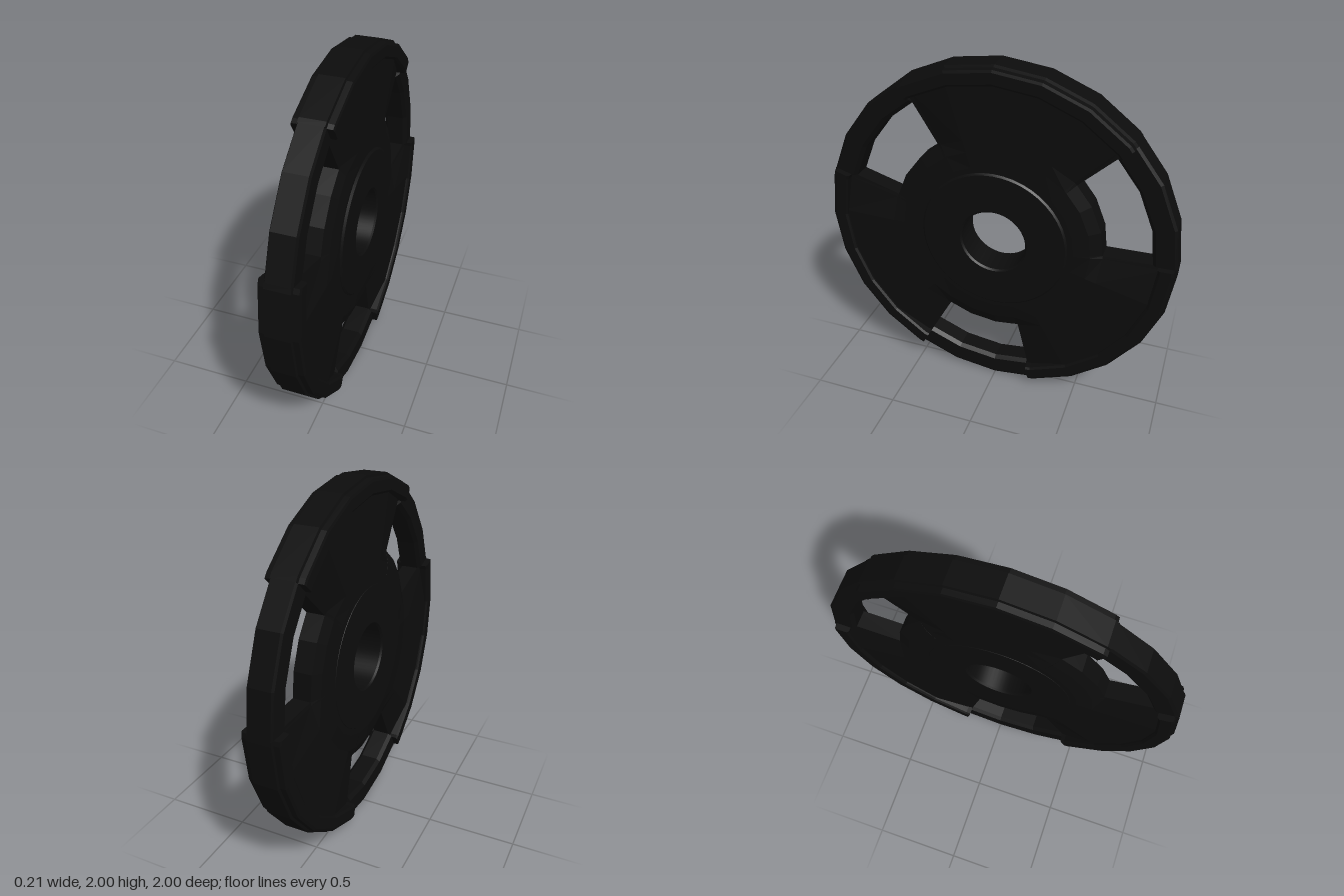
import * as THREE from 'three';
import { toCreasedNormals } from 'three/addons/utils/BufferGeometryUtils.js';

const RAD = Math.PI / 180;
const STEP = 15; // the plate is a 24-sided polygon
const WINDOW = [1.5, 43.3]; // angles of the first grip window
const SPOKE = [43.3, 121.5];

// Point at polygon radius r and angle a around the x axis
function point(x, r, a) {
  const d = ((a % STEP) + STEP) % STEP;
  const k = r * Math.cos(STEP / 2 * RAD) / Math.cos((d - STEP / 2) * RAD);
  return [x, 1 + k * Math.sin(a * RAD), -k * Math.cos(a * RAD)];
}

// Angles from a to b with every polygon corner and any extra angles between
function angles(a, b, extra = []) {
  const list = [a, ...extra, b];
  for (let c = Math.ceil(a / STEP) * STEP; c < b; c += STEP) if (c > a) list.push(c);
  return list.sort((p, q) => p - q);
}

// Sweep rows of [radius, xMin, xMax], inner to outer, around the axis
function sweep(list, rowsAt) {
  const pos = [];
  const quad = (a, b, c, d) => pos.push(...a, ...b, ...c, ...a, ...c, ...d);
  const sections = list.map((a) => {
    const rows = rowsAt(a);
    const right = rows.map(([r, , x]) => point(x, r, a));
    const left = rows.map(([r, x]) => point(x, r, a));
    return { right, left, loop: [...right, ...left.slice().reverse()] };
  });
  for (let j = 0; j < sections.length - 1; j++) {
    const p = sections[j].loop, q = sections[j + 1].loop;
    for (let i = 0; i < p.length; i++) {
      const n = (i + 1) % p.length;
      quad(p[i], p[n], q[n], q[i]);
    }
  }
  const s = sections[0], e = sections[sections.length - 1];
  for (let i = 0; i < s.right.length - 1; i++) {
    quad(s.left[i], s.left[i + 1], s.right[i + 1], s.right[i]);
    quad(e.left[i], e.right[i], e.right[i + 1], e.left[i + 1]);
  }
  const g = new THREE.BufferGeometry();
  g.setAttribute('position', new THREE.Float32BufferAttribute(pos, 3));
  g.computeVertexNormals();
  return g;
}

export function createModel() {
  const group = new THREE.Group();
  group.name = 'weightPlate';
  const black = new THREE.MeshStandardMaterial({ color: 0x0c0c0c });
  black.name = 'black rubber';
  const add = (name, geometry) => {
    const mesh = new THREE.Mesh(geometry, black);
    mesh.name = name;
    group.add(mesh);
    return mesh;
  };

  // Round hub with the bar hole and a slightly raised face
  const hub = new THREE.LatheGeometry([
    [0.195, -0.09], [0.41, -0.09], [0.42, -0.08], [0.42, 0.088], [0.41, 0.097],
    [0.195, 0.097], [0.185, 0.088], [0.185, -0.08], [0.195, -0.09],
  ].map(([r, y]) => new THREE.Vector2(r, y)), 48);
  hub.rotateZ(-Math.PI / 2);
  hub.translate(0, 1, 0);
  add('hub', toCreasedNormals(hub, 0.4));

  const windowAngles = angles(...WINDOW);
  const flank = 15.5; // sloped strip beside each window
  const spokeAngles = angles(...SPOKE, [SPOKE[0] + flank, SPOKE[1] - flank]);

  // Hub edge scooped away toward the window
  const scoop = sweep(windowAngles, () => [
    [0.38, -0.088, 0.085], [0.45, -0.088, 0.085], [0.54, -0.075, 0.073], [0.605, -0.05, 0.05],
  ]);

  // Narrow rim that serves as the handle
  const grip = sweep(windowAngles, () => [
    [0.87, -0.05, 0.05], [0.89, -0.07, 0.07], [0.985, -0.07, 0.07], [1, -0.062, 0.062],
  ]);

  // Spoke panel, thinning toward the windows on both sides
  const spoke = sweep(spokeAngles, (a) => {
    const t = Math.min(1, (a - SPOKE[0]) / flank, (SPOKE[1] - a) / flank);
    const x = 0.05 + 0.036 * t;
    const mid = 0.073 + 0.013 * t;
    return [
      [0.38, -0.088, 0.085], [0.45, -0.088, 0.085], [0.54, -mid, mid], [0.605, -x, x], [0.93, -x, x],
    ];
  });

  // Wide raised rim along the spoke
  const rim = sweep(angles(...SPOKE), () => [
    [0.9, -0.095, 0.095], [0.912, -0.105, 0.105], [0.97, -0.105, 0.105],
    [0.984, -0.1, 0.1], [0.986, -0.07, 0.07], [1, -0.066, 0.066],
  ]);

  // Three-fold repeat about the hub axis
  const parts = { windowScoop: scoop, gripRim: grip, spoke, raisedRim: rim };
  for (let i = 0; i < 3; i++) {
    for (const [name, geometry] of Object.entries(parts)) {
      const g = geometry.clone();
      g.translate(0, -1, 0);
      g.rotateX(i * 120 * RAD);
      g.translate(0, 1, 0);
      add(name + (i + 1), g);
    }
  }
  return group;
}
